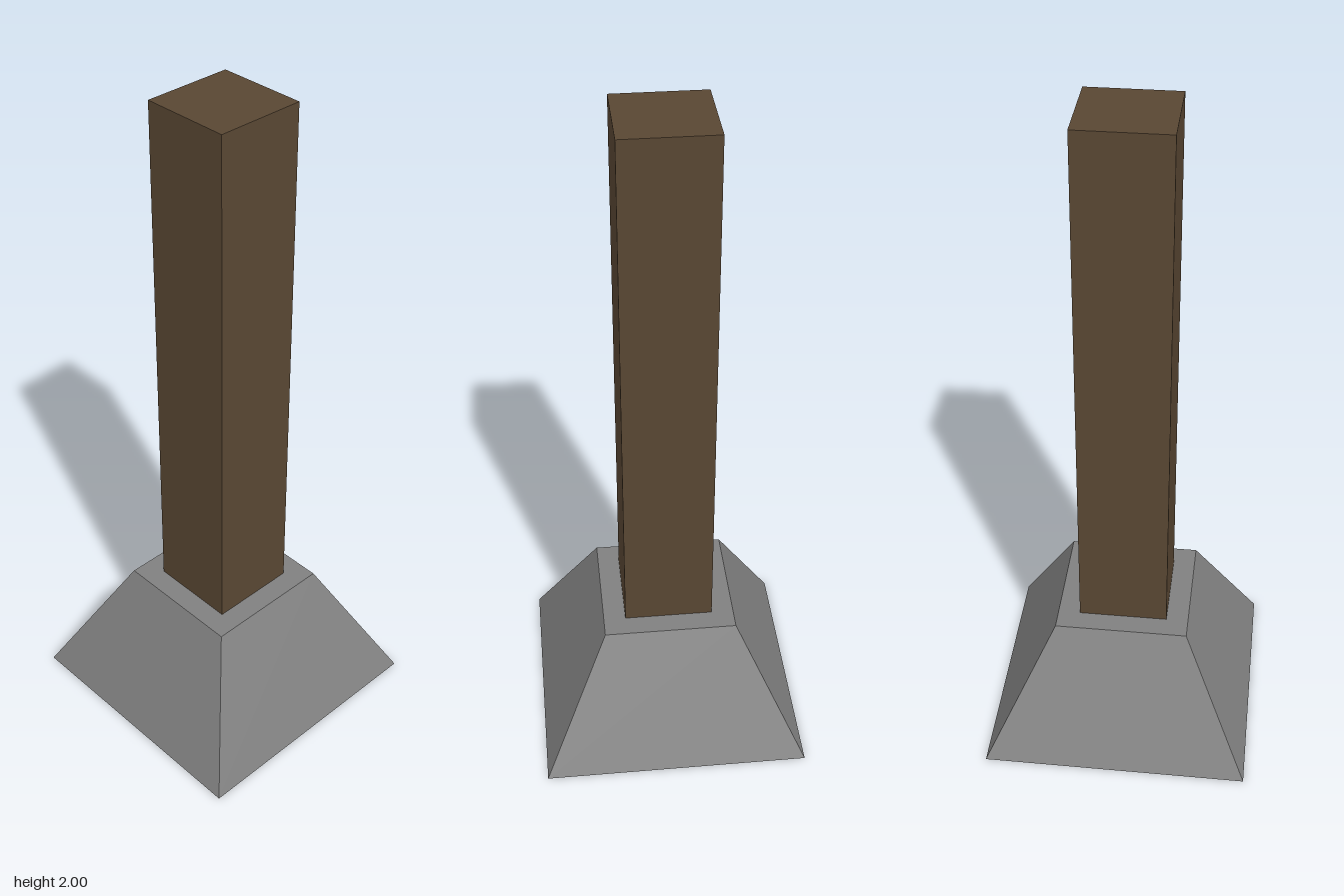
import * as THREE from 'three';

const BASE_HEIGHT = 0.4;
const TOTAL_HEIGHT = 2;

// Square frustum standing on y = 0, with sides parallel to the x and z axes
function squareFrustum(bottomWidth, topWidth, height) {
  const geometry = new THREE.CylinderGeometry(topWidth / Math.SQRT2, bottomWidth / Math.SQRT2, height, 4);
  return geometry.rotateY(Math.PI / 4).translate(0, height / 2, 0);
}

export function createModel() {
  const model = new THREE.Group();
  model.name = 'postOnFooting';

  // Tapered stone footing
  const footing = new THREE.Mesh(
    squareFrustum(0.8, 0.4, BASE_HEIGHT),
    new THREE.MeshStandardMaterial({ color: 0x808080, flatShading: true })
  );
  footing.name = 'footing';
  model.add(footing);

  // Square wooden post standing on the footing
  const postHeight = TOTAL_HEIGHT - BASE_HEIGHT;
  const post = new THREE.Mesh(
    new THREE.BoxGeometry(0.267, postHeight, 0.267),
    new THREE.MeshStandardMaterial({ color: 0x594733 })
  );
  post.name = 'post';
  post.position.y = BASE_HEIGHT + postHeight / 2;
  model.add(post);

  return model;
}
